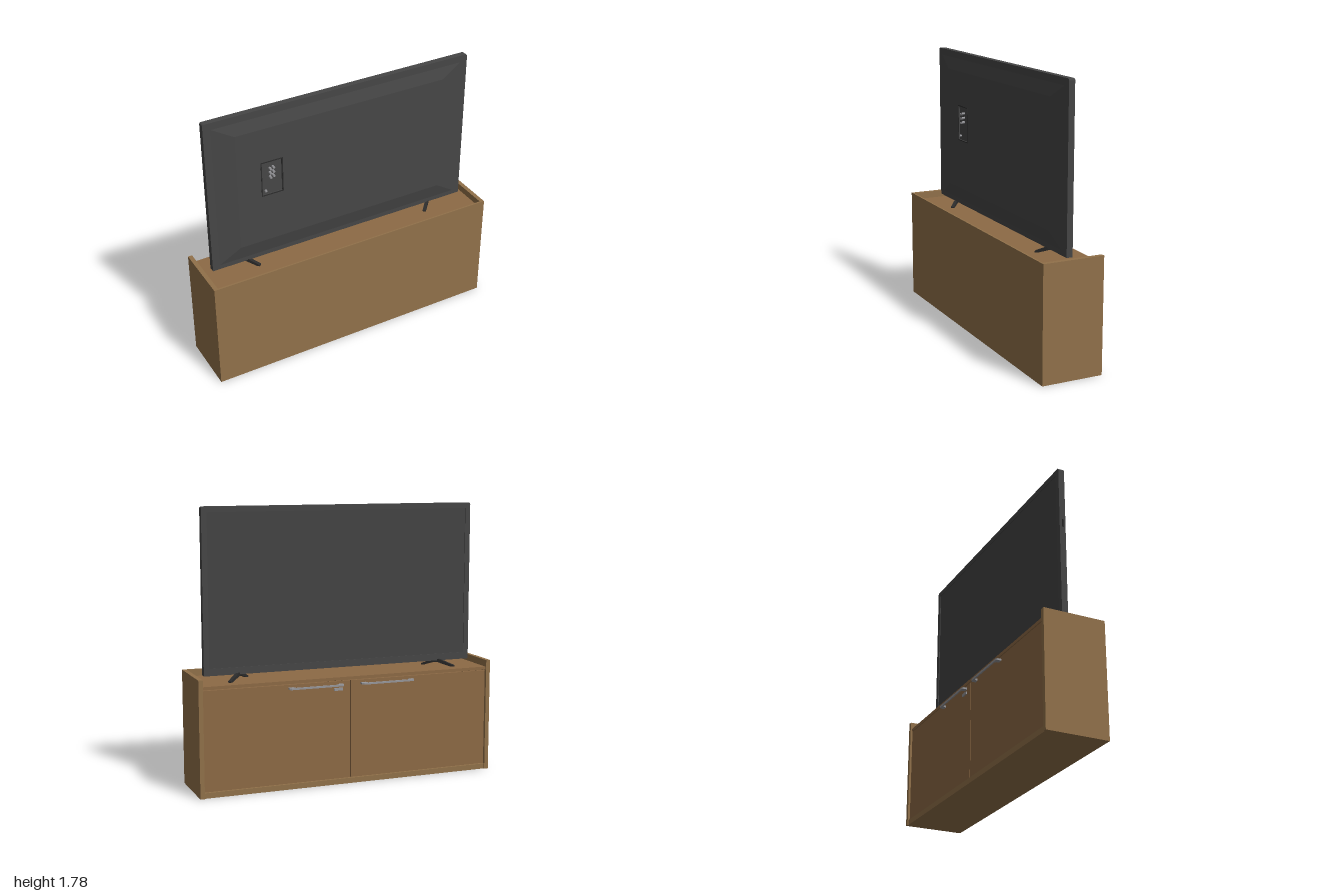
import * as THREE from 'three';

export function createModel() {
  const model = new THREE.Group();
  const mat = (name, color) => {
    const m = new THREE.MeshStandardMaterial({ color });
    m.name = name;
    return m;
  };
  const wood = mat('wood', 0x91714a);
  const doorWood = mat('door wood', 0x8d6a45);
  const plastic = mat('dark plastic', 0x464646);
  const screenMat = mat('screen', 0x444444);
  const black = mat('black plastic', 0x2c2c2c);
  const metal = mat('metal', 0x97979b);

  const add = (parent, name, geometry, material) => {
    const mesh = new THREE.Mesh(geometry, material);
    mesh.name = name;
    parent.add(mesh);
    return mesh;
  };
  // box given by its two extreme corners
  const box = (parent, name, material, x0, x1, y0, y1, z0, z1) => {
    const mesh = add(parent, name, new THREE.BoxGeometry(x1 - x0, y1 - y0, z1 - z0), material);
    mesh.position.set((x0 + x1) / 2, (y0 + y1) / 2, (z0 + z1) / 2);
    return mesh;
  };
  const group = (name, parent = model) => {
    const g = new THREE.Group();
    g.name = name;
    parent.add(g);
    return g;
  };
  const rect = (x0, x1, y0, y1, Type = THREE.Shape) => new Type([
    new THREE.Vector2(x0, y0), new THREE.Vector2(x1, y0),
    new THREE.Vector2(x1, y1), new THREE.Vector2(x0, y1)]);
  const extrude = (shape, depth, z) =>
    new THREE.ExtrudeGeometry(shape, { depth, bevelEnabled: false, curveSegments: 5 }).translate(0, 0, z);

  // Cabinet: panels with a sunken top
  const cabinet = group('cabinet');
  for (const s of [-1, 1]) {
    box(cabinet, 'sidePanel', wood, Math.min(s, s * 0.972), Math.max(s, s * 0.972), 0, 0.745, -0.192, 0.2);
  }
  box(cabinet, 'longPanel', wood, -1, 1, 0, 0.745, 0.2, 0.212);
  box(cabinet, 'topBoard', doorWood, -0.972, 0.972, 0.68, 0.7, -0.181, 0.2);
  box(cabinet, 'bottomBoard', wood, -0.972, 0.972, 0, 0.035, -0.185, 0.2);
  box(cabinet, 'innerDivider', wood, -0.015, 0.015, 0.035, 0.68, -0.16, 0.2);

  // Doors and bracket handles
  const handleProfile = new THREE.Shape();
  [[-0.183, 0], [-0.183, 0.026], [-0.17, 0.034], [0.17, 0.034], [0.183, 0.026], [0.183, 0],
    [0.15, 0], [0.15, 0.014], [0.138, 0.025], [-0.138, 0.025], [-0.15, 0.014], [-0.15, 0]]
    .forEach(([x, y], i) => (i ? handleProfile.lineTo(x, y) : handleProfile.moveTo(x, y)));
  for (const s of [-1, 1]) {
    const a = s * 0.003, b = s * 0.969;
    box(cabinet, 'door', doorWood, Math.min(a, b), Math.max(a, b), 0.038, 0.675, -0.179, -0.16);
    const handle = add(cabinet, 'handle', extrude(handleProfile, 0.012, -0.006), metal);
    handle.rotation.x = -Math.PI / 2;
    handle.position.set(s < 0 ? -0.253 : 0.237, 0.652, -0.179);
  }
  box(cabinet, 'doorLatch', metal, 0.055, 0.115, 0.615, 0.632, -0.188, -0.179);

  // Television housing with rounded corners
  const tv = group('television');
  const X = 0.92, Y0 = 0.735, Y1 = 1.785, r = 0.014;
  const outline = () => {
    const s = new THREE.Shape();
    s.moveTo(-X, Y0);
    s.lineTo(X, Y0);
    s.lineTo(X, Y1 - r);
    s.quadraticCurveTo(X, Y1, X - r, Y1);
    s.lineTo(-X + r, Y1);
    s.quadraticCurveTo(-X, Y1, -X, Y1 - r);
    s.closePath();
    return s;
  };
  add(tv, 'housing', extrude(outline(), 0.033, -0.018), plastic);
  const bezel = outline();
  bezel.holes.push(rect(-0.885, 0.885, 0.78, 1.75, THREE.Path));
  add(tv, 'bezel', extrude(bezel, 0.007, -0.025), plastic);
  box(tv, 'screen', screenMat, -0.885, 0.885, 0.78, 1.75, -0.02, -0.0175);
  box(tv, 'sideButton', black, -0.923, -0.92, 1.37, 1.42, -0.008, 0.004);

  // Sloped skirt of the raised rear cover
  const ring = (x, y0, y1, z) => [[-x, y0, z], [x, y0, z], [x, y1, z], [-x, y1, z]];
  const low = ring(0.87, 0.765, 1.74, 0.015), high = ring(0.73, 0.858, 1.66, 0.032);
  const skirt = [];
  for (let i = 0; i < 4; i++) {
    const j = (i + 1) % 4;
    skirt.push(...low[i], ...low[j], ...high[j], ...low[i], ...high[j], ...high[i]);
  }
  const skirtGeo = new THREE.BufferGeometry();
  skirtGeo.setAttribute('position', new THREE.Float32BufferAttribute(skirt, 3));
  skirtGeo.computeVertexNormals();
  add(tv, 'rearSlopes', skirtGeo, plastic);

  // Flat rear cover with a recessed socket bay
  const cover = rect(-0.73, 0.73, 0.858, 1.66);
  cover.holes.push(rect(-0.563, -0.427, 1.195, 1.423, THREE.Path));
  add(tv, 'rearCover', extrude(cover, 0.012, 0.02), plastic);
  box(tv, 'socketBay', plastic, -0.563, -0.427, 1.195, 1.423, 0.018, 0.024);
  const rim = rect(-0.57, -0.42, 1.188, 1.43);
  rim.holes.push(rect(-0.563, -0.427, 1.195, 1.423, THREE.Path));
  add(tv, 'socketRim', extrude(rim, 0.003, 0.0305), black);

  // Sockets: a cluster of plugs and one low jack
  const socket = (x, y, z1) => {
    const len = z1 - 0.022;
    const m = add(tv, 'socket', new THREE.CylinderGeometry(0.008, 0.008, len, 12), metal);
    m.rotation.x = Math.PI / 2;
    m.position.set(x, y, 0.022 + len / 2);
  };
  for (let i = 0; i < 3; i++) {
    socket(-0.507, 1.315 + i * 0.03, 0.045);
    socket(-0.486, 1.322 + i * 0.03, 0.045);
  }
  socket(-0.54, 1.222, 0.036);

  // Splayed feet: a flat inverted V set diagonally
  const foot = new THREE.Shape();
  [[-0.125, 0], [-0.1, 0], [-0.01, 0.024], [0.01, 0.024], [0.085, 0], [0.105, 0],
    [0.105, 0.008], [0.02, 0.045], [-0.02, 0.045], [-0.125, 0.008]]
    .forEach(([x, y], i) => (i ? foot.lineTo(x, y) : foot.moveTo(x, y)));
  for (const s of [-1, 1]) {
    const m = add(tv, 'foot', extrude(foot, 0.022, -0.011), black);
    m.position.set(s * 0.69, 0.7, -0.012);
    m.rotation.y = s < 0 ? -Math.PI / 4 : -Math.PI * 0.75;
  }
  return model;
}
